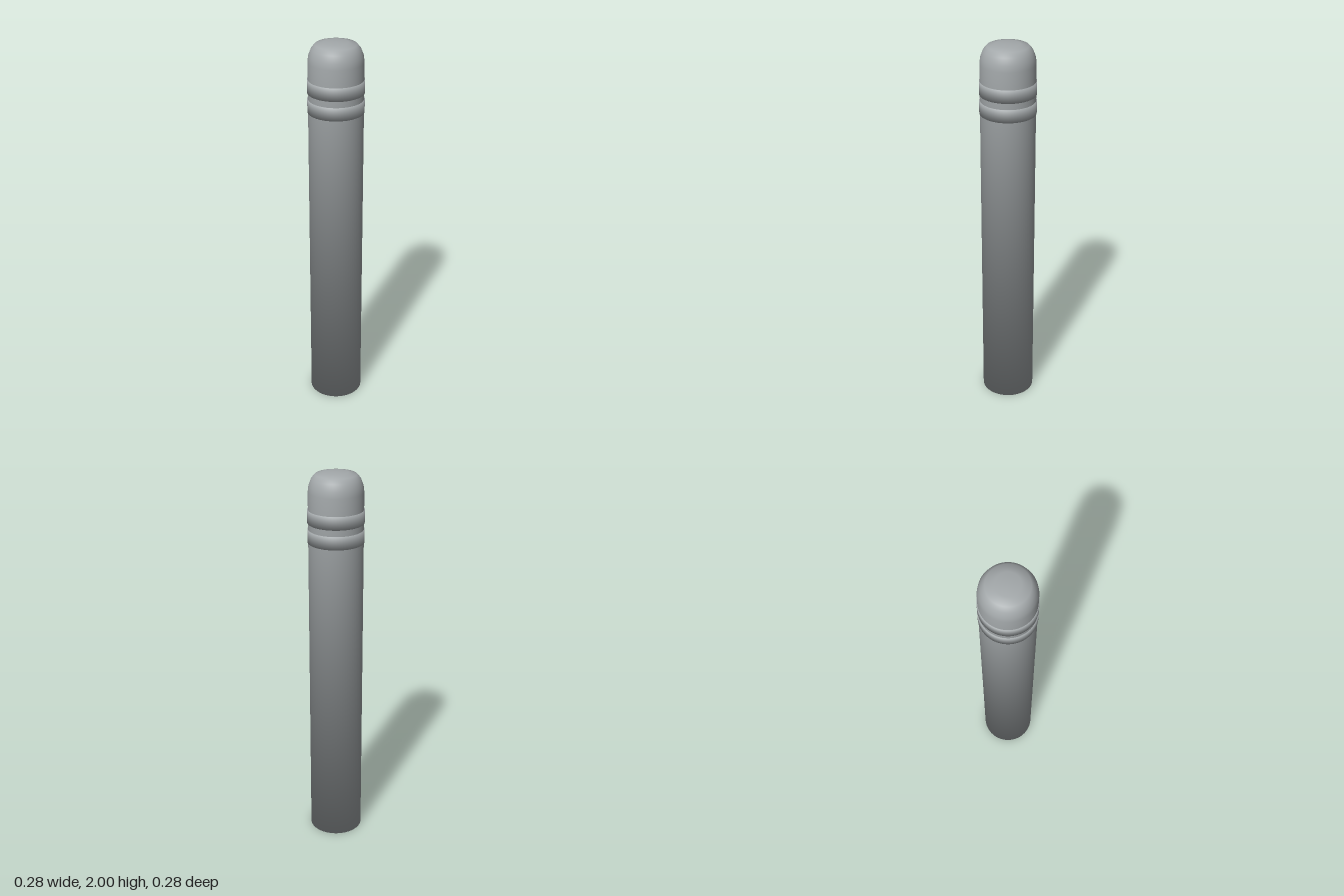
import * as THREE from 'three';

const SEGMENTS = 64;

// Lathe whose normals average the neighbouring profile edges equally
function softLathe(profile) {
  const points = profile.map(([r, y]) => new THREE.Vector2(r, y));
  const geometry = new THREE.LatheGeometry(points, SEGMENTS);
  const edges = points.slice(1).map((p, i) => {
    const d = p.clone().sub(points[i]).normalize();
    return new THREE.Vector2(d.y, -d.x);
  });
  const normals = points.map((p, j) => {
    if (p.x === 0) return new THREE.Vector2(0, j === 0 ? -1 : 1);
    const n = new THREE.Vector2();
    if (j > 0) n.add(edges[j - 1]);
    if (j < edges.length) n.add(edges[j]);
    return n.normalize();
  });
  const attribute = geometry.attributes.normal;
  for (let i = 0; i <= SEGMENTS; i++) {
    const a = (i / SEGMENTS) * Math.PI * 2;
    normals.forEach((n, j) => attribute.setXYZ(
      i * points.length + j, n.x * Math.sin(a), n.y, n.x * Math.cos(a)));
  }
  return geometry;
}

export function createModel() {
  const group = new THREE.Group();
  group.name = 'bollard';
  const steel = new THREE.MeshStandardMaterial({ color: 0xa3a8aa });
  steel.name = 'grey steel';

  const add = (name, profile) => {
    const mesh = new THREE.Mesh(softLathe(profile), steel);
    mesh.name = name;
    group.add(mesh);
  };

  // Post with a closed base and a rounded cap
  add('post', [
    [0, 0], [0.139, 0], [0.139, 1.9], [0.135, 1.932], [0.122, 1.966],
    [0.103, 1.988], [0.06, 1.998], [0, 2],
  ]);

  // Two raised bands below the cap
  [['lowerBand', 1.645], ['upperBand', 1.745]].forEach(([name, y]) => add(name, [
    [0.136, y], [0.1425, y], [0.1425, y + 0.067], [0.136, y + 0.067],
  ]));

  return group;
}
